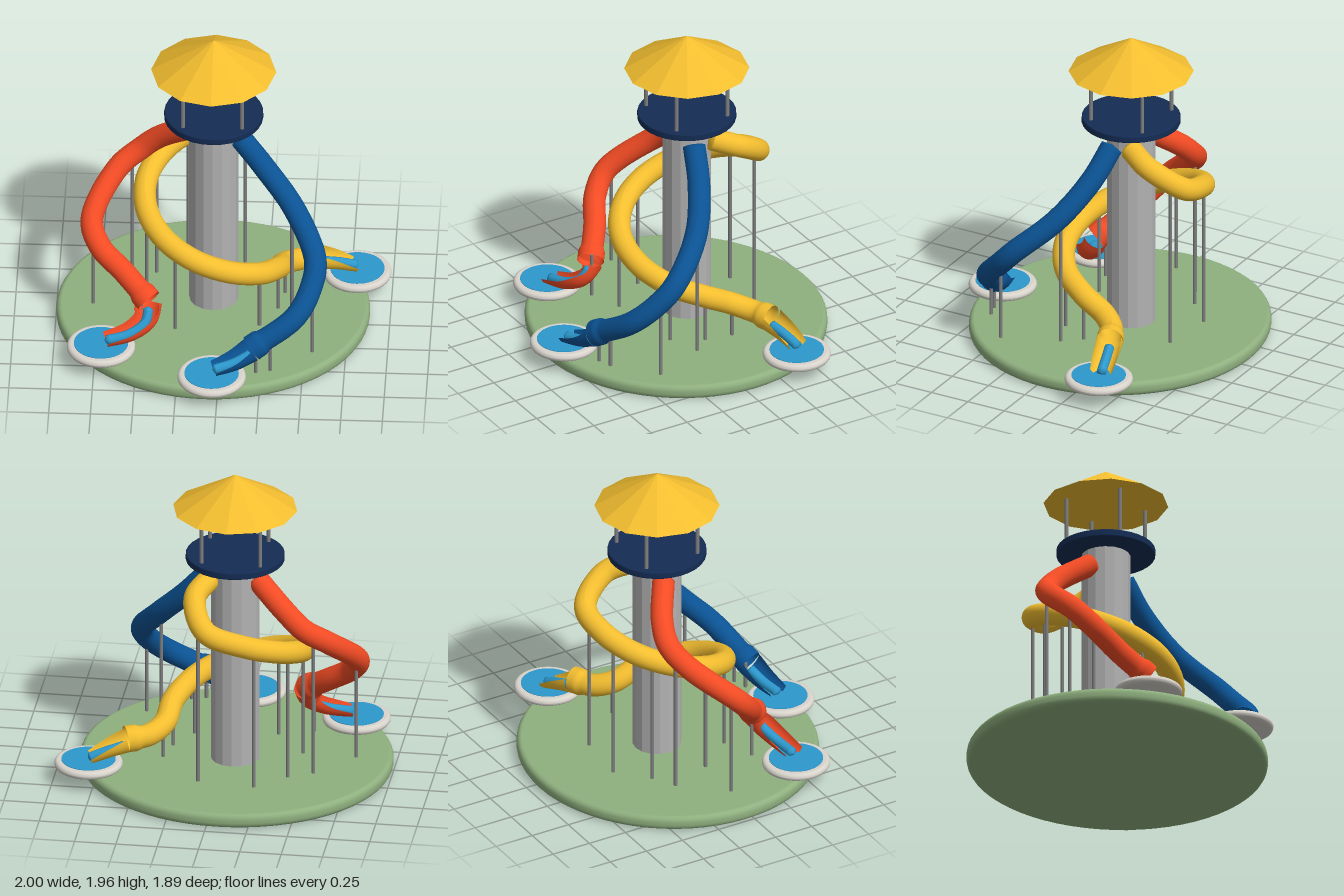
import * as THREE from 'three';

const V = (p) => new THREE.Vector3(...p);
const UP = new THREE.Vector3(0, 1, 0);
const TOWER = { x: -0.06, z: -0.13 };
const PIPE = 0.068;
const MOUTH = 0.081;
const mat = (color, flatShading = false) =>
  new THREE.MeshStandardMaterial({ color, flatShading, side: THREE.DoubleSide });

const M = {
  lawn: mat(0x8fb07f), column: mat(0xb2b2b2, true), post: mat(0x808080),
  deck: mat(0x142c54), roof: mat(0xf2bd2f, true), rim: mat(0xd8d4cc),
  water: mat(0x2c98cc), red: mat(0xf24b24), blue: mat(0x0b5394), yellow: mat(0xf2bd2f),
};

function add(parent, name, geometry, material, x = 0, y = 0, z = 0) {
  const mesh = new THREE.Mesh(geometry, material);
  mesh.name = name;
  mesh.position.set(x, y, z);
  parent.add(mesh);
  return mesh;
}

// Turned disc from y0 to y1 with a rounded edge of size e
function disc(r, y0, y1, e, segments) {
  const profile = [new THREE.Vector2(0, y0)];
  for (const [y, start] of [[y0 + e, -Math.PI / 2], [y1 - e, 0]]) {
    for (let i = 0; i <= 4; i++) {
      const a = start + i * Math.PI / 8;
      profile.push(new THREE.Vector2(r - e + e * Math.cos(a), y + e * Math.sin(a)));
    }
  }
  profile.push(new THREE.Vector2(0, y1));
  return new THREE.LatheGeometry(profile, segments);
}

// Sweeps an arc, centred on the downward direction, along a curve.
// radius(t) is its radius, half(t) its half angle (PI gives a closed pipe).
function sweep(curve, steps, sides, radius, half) {
  const pos = [], index = [];
  for (let i = 0; i <= steps; i++) {
    const t = i / steps;
    const c = curve.getPointAt(t), dir = curve.getTangentAt(t);
    const side = new THREE.Vector3().crossVectors(dir, UP).normalize();
    const up = new THREE.Vector3().crossVectors(side, dir);
    for (let j = 0; j <= sides; j++) {
      const a = half(t) * (2 * j / sides - 1);
      const p = c.clone().addScaledVector(side, Math.sin(a) * radius(t))
        .addScaledVector(up, -Math.cos(a) * radius(t));
      pos.push(p.x, p.y, p.z);
      if (i < steps && j < sides) {
        const k = i * (sides + 1) + j, n = k + sides + 1;
        index.push(k, k + 1, n, k + 1, n + 1, n);
      }
    }
  }
  const g = new THREE.BufferGeometry();
  g.setAttribute('position', new THREE.Float32BufferAttribute(pos, 3));
  g.setIndex(index);
  g.computeVertexNormals();
  return g;
}

// path: pipe from tower to mouth; chute: open run after the mouth;
// supports: positions along the path, counted in path points.
function buildSlide(name, material, path, chute, supports, poolX, poolZ) {
  const g = new THREE.Group();
  g.name = name;
  const curve = new THREE.CatmullRomCurve3(path.map(V));
  const length = curve.getLength();

  // Closed pipe: capped at the top, flared collar at the mouth
  const pipeRadius = (t) => {
    if (t === 0) return 0;
    const flare = THREE.MathUtils.clamp((0.09 - (1 - t) * length) / 0.03, 0, 1);
    return THREE.MathUtils.lerp(PIPE, MOUTH, flare);
  };
  add(g, 'pipe', sweep(curve, Math.round(length * 70), 24, pipeRadius, () => Math.PI), material);

  // Open chute with low walls and a stream of water in it
  const run = [path[path.length - 1], ...chute].map(V);
  add(g, 'chute', sweep(new THREE.CatmullRomCurve3(run), 20, 14,
    (t) => MOUTH - 0.008 * t, (t) => 2.0 - 0.75 * t), material);
  const bed = new THREE.CatmullRomCurve3(run.map((p) => p.clone().setY(p.y - 0.04)));
  add(g, 'stream', sweep(bed, 24, 12, (t) => (t === 0 || t === 1 ? 0 : 0.03), () => Math.PI), M.water);

  // Landing pool
  add(g, 'poolRim', disc(0.205, 0.088, 0.138, 0.024, 40), M.rim, poolX, 0, poolZ);
  add(g, 'poolWater', new THREE.CylinderGeometry(0.163, 0.163, 0.02, 40), M.water, poolX, 0.131, poolZ);

  // Supports under the pipe
  for (const s of supports) {
    const p = curve.getPoint(s / (path.length - 1));
    const h = p.y - 0.03 - 0.08;
    add(g, 'support', new THREE.CylinderGeometry(0.011, 0.011, h, 8), M.post, p.x, 0.08 + h / 2, p.z);
  }
  return g;
}

// Yellow pipe: a spiral round the tower between its entry and its mouth
function spiralPath() {
  const path = [[0.08, 1.3, -0.2], [0.15, 1.235, -0.37]];
  for (let deg = -15; deg <= 255; deg += 30) {
    const a = THREE.MathUtils.degToRad(deg);
    const r = 0.445 - 0.04 * Math.min(1, Math.max(0, deg) / 120);
    path.push([TOWER.x - r * Math.sin(a), 1.065 - 0.24 * deg / 90, TOWER.z - r * Math.cos(a)]);
  }
  path.push([0.36, 0.31, -0.18], [0.44, 0.27, -0.28], [0.57, 0.26, -0.34]);
  return path;
}

function buildTower() {
  const tower = new THREE.Group();
  tower.name = 'tower';
  tower.position.set(TOWER.x, 0, TOWER.z);
  add(tower, 'column', new THREE.CylinderGeometry(0.147, 0.147, 1.33, 16), M.column, 0, 0.745, 0);
  add(tower, 'deck', disc(0.297, 1.4, 1.446, 0.008, 32), M.deck);
  for (const x of [-0.177, 0.177]) {
    for (const z of [-0.177, 0.177]) {
      add(tower, 'roofPost', new THREE.CylinderGeometry(0.012, 0.012, 0.31, 10), M.post, x, 1.59, z);
    }
  }
  add(tower, 'roof', new THREE.ConeGeometry(0.375, 0.22, 12), M.roof, 0, 1.85, 0);
  return tower;
}

export function createModel() {
  const model = new THREE.Group();
  model.name = 'waterSlideTower';

  // Slightly oval lawn
  const lawn = add(model, 'lawn', disc(1, 0, 0.09, 0.035, 64), M.lawn, -0.06, 0, -0.055);
  lawn.scale.set(0.94, 1, 0.895);

  model.add(buildTower());

  const redPath = [[-0.19, 1.3, -0.16], [-0.39, 1.14, -0.285], [-0.5, 1.04, -0.305],
    [-0.64, 0.935, -0.24], [-0.785, 0.72, 0], [-0.73, 0.6, 0.11], [-0.585, 0.485, 0.2],
    [-0.43, 0.36, 0.32]];
  const redChute = [[-0.45, 0.28, 0.375], [-0.54, 0.225, 0.42], [-0.69, 0.195, 0.455]];
  model.add(buildSlide('redSlide', M.red, redPath, redChute, [2.4, 3.85, 6.7], -0.71, 0.455));

  const bluePath = [[0.09, 1.3, -0.09], [0.25, 1.11, -0.03], [0.435, 0.9, 0.1],
    [0.568, 0.69, 0.32], [0.55, 0.575, 0.43], [0.46, 0.44, 0.56], [0.2, 0.27, 0.66]];
  const blueChute = [[0.09, 0.22, 0.695], [-0.03, 0.195, 0.73]];
  model.add(buildSlide('blueSlide', M.blue, bluePath, blueChute, [1.9, 3.9, 5.6, 5.9], -0.035, 0.74));

  const yellowChute = [[0.68, 0.23, -0.375], [0.79, 0.19, -0.405]];
  model.add(buildSlide('yellowSlide', M.yellow, spiralPath(), yellowChute,
    [1.6, 3.27, 4.37, 6, 7.43, 10, 11, 12.1], 0.79, -0.39));
  return model;
}
